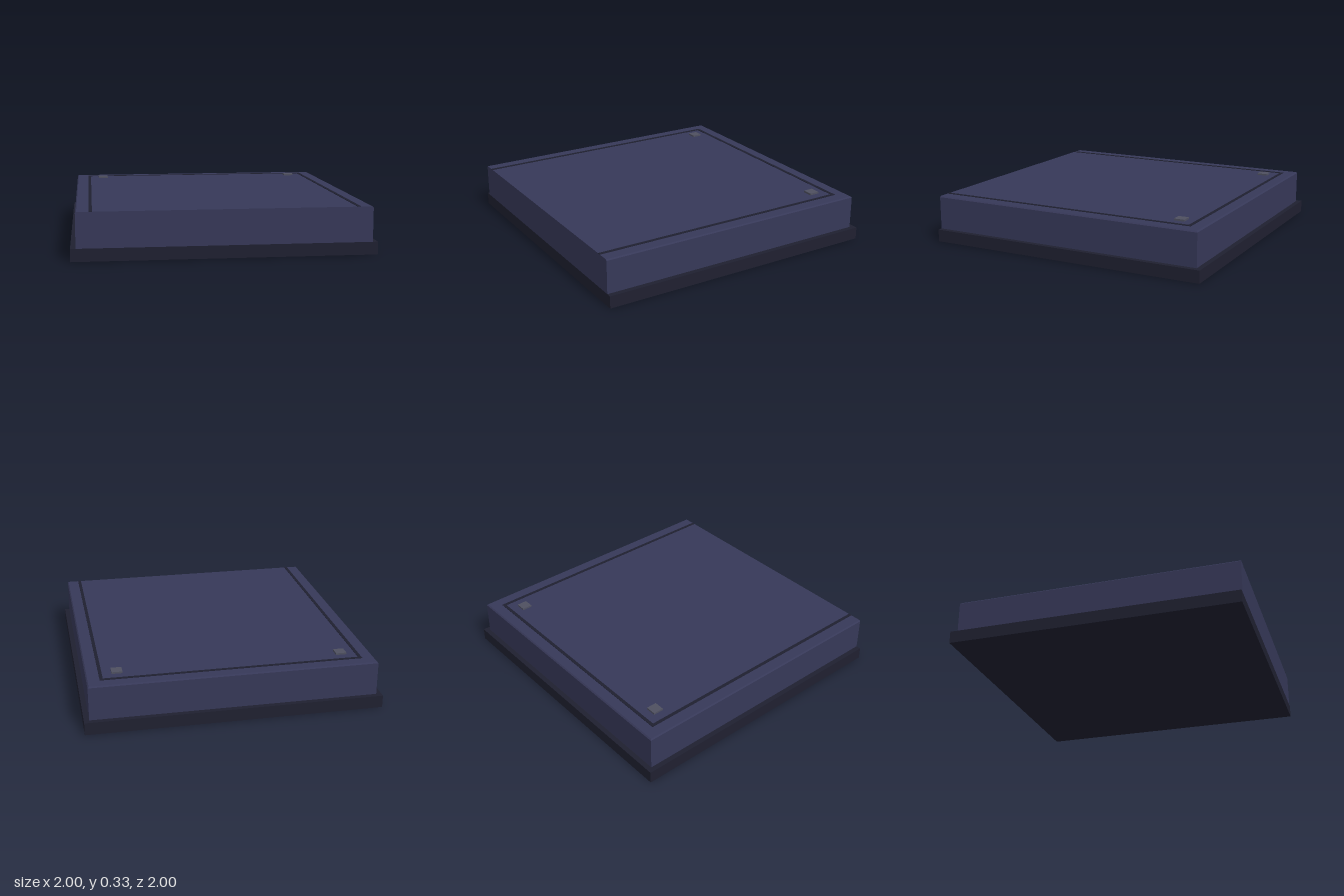
import * as THREE from 'three';

export function createModel() {
  const model = new THREE.Group();
  const paint = (color) => new THREE.MeshStandardMaterial({ color });
  const bodyMat = paint(0x363858);
  const darkMat = paint(0x1f2030);
  const padMat = paint(0x4e5060);

  const add = (name, geometry, material, x, y, z) => {
    const mesh = new THREE.Mesh(geometry, material);
    mesh.name = name;
    mesh.position.set(x, y, z);
    model.add(mesh);
    return mesh;
  };
  // Box given by its extents on each axis
  const block = (name, material, [x0, x1], [y0, y1], [z0, z1]) =>
    add(name, new THREE.BoxGeometry(x1 - x0, y1 - y0, z1 - z0), material,
      (x0 + x1) / 2, (y0 + y1) / 2, (z0 + z1) / 2);

  // Plinth, wider than the slab on the sides and back
  block('base', darkMat, [-1, 1], [0, 0.085], [-1, 1]);

  // Slab: flush at the front, small chamfer along the top of the sides and back
  const width = 1.93, height = 0.235, depth = 1.965, bevel = 0.008;
  const box = new THREE.BoxGeometry(width, height, depth, 1, 2, 1);
  const p = box.attributes.position;
  for (let i = 0; i < p.count; i++) {
    const x = p.getX(i), y = p.getY(i), z = p.getZ(i);
    if (y > height / 4) {
      p.setX(i, x - Math.sign(x) * bevel);
      if (z < 0) p.setZ(i, z + bevel);
    } else if (y > -height / 4) {
      p.setY(i, height / 2 - bevel);
    }
  }
  const slab = box.toNonIndexed();
  slab.computeVertexNormals();
  add('slab', slab, bodyMat, 0, 0.085 + height / 2, 1 - depth / 2);

  // Thin dark border lines, open at the front
  const lineY = [0.315, 0.323];
  block('backBorder', darkMat, [-0.88, 0.88], lineY, [-0.882, -0.86]);
  for (const [side, s] of [['left', 1], ['right', -1]]) {
    block(side + 'Border', darkMat, [s * 0.869 - 0.011, s * 0.869 + 0.011], lineY, [-0.86, 1]);
    // Square studs in the back corners
    block(side + 'Stud', padMat, [s * 0.76 - 0.036, s * 0.76 + 0.036], [0.315, 0.332], [-0.8, -0.728]);
  }
  return model;
}
